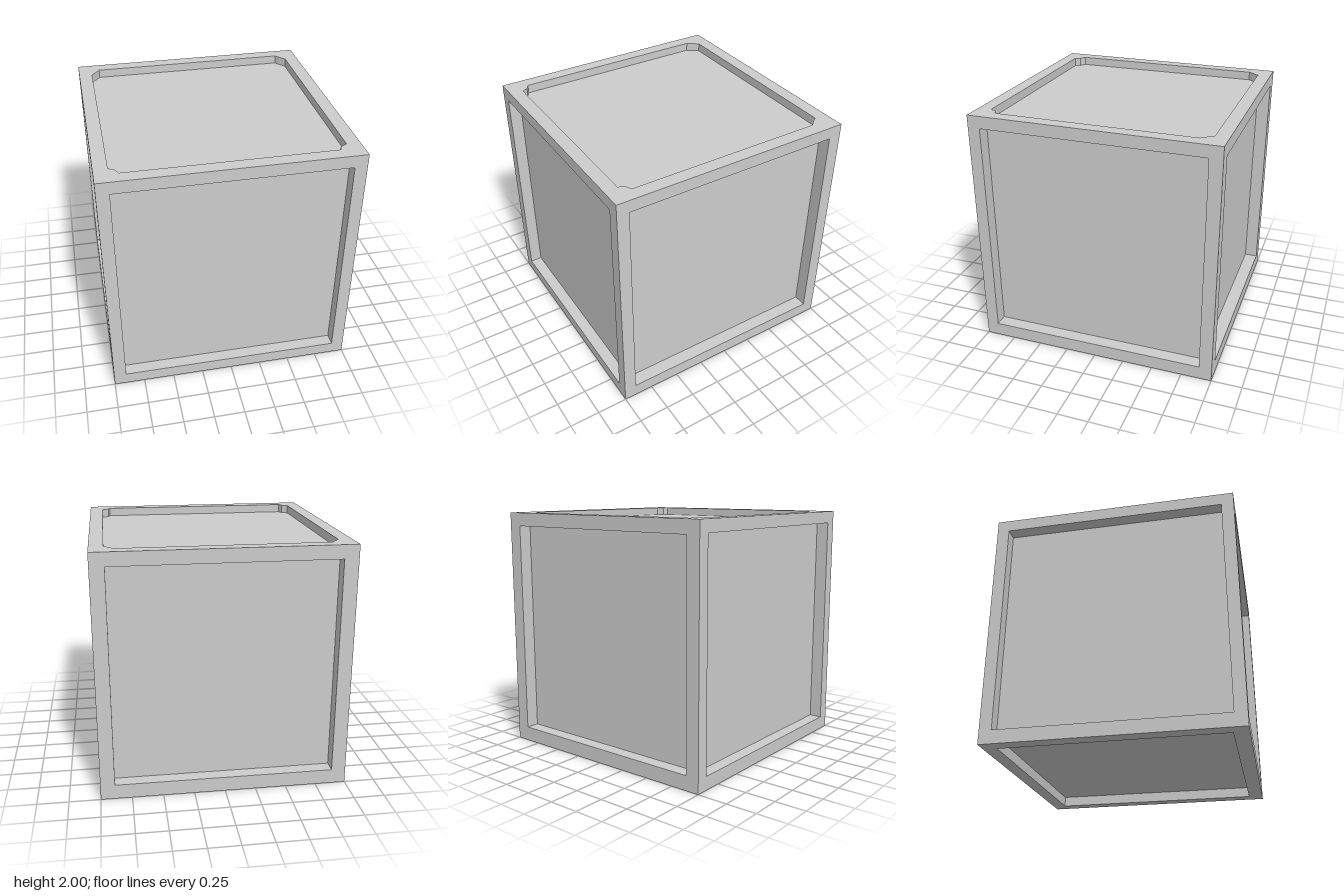
import * as THREE from 'three';

const stone = new THREE.MeshStandardMaterial({ color: 0xcccccc });
stone.name = 'light grey';

const rect = (x0, x1, y0, y1) => [[x0, y0], [x1, y0], [x1, y1], [x0, y1]];
const toShape = (pts) => new THREE.Shape(pts.map(([x, y]) => new THREE.Vector2(x, y)));

// Inward-facing walls that drop from a counter-clockwise opening to the panel
function wallGeometry(pts, depth) {
  const pos = [];
  pts.forEach(([px, py], i) => {
    const [qx, qy] = pts[(i + 1) % pts.length];
    const zb = 1 - depth;
    pos.push(px, py, 1, qx, qy, 1, px, py, zb);
    pos.push(qx, qy, 1, qx, qy, zb, px, py, zb);
  });
  const geo = new THREE.BufferGeometry();
  geo.setAttribute('position', new THREE.Float32BufferAttribute(pos, 3));
  geo.computeVertexNormals();
  return geo;
}

// One cube side, facing +z at z = 1: flat border, recess walls, sunken panel
function recessedSide(name, opening, depth) {
  const side = new THREE.Group();
  side.name = name;
  const add = (part, geo) => {
    const mesh = new THREE.Mesh(geo, stone);
    mesh.name = name + part;
    side.add(mesh);
  };
  const border = toShape(rect(-1, 1, -1, 1));
  border.holes.push(toShape(opening));
  add('Border', new THREE.ShapeGeometry(border).translate(0, 0, 1));
  add('RecessWalls', wallGeometry(opening, depth));
  add('Panel', new THREE.ShapeGeometry(toShape(opening)).translate(0, 0, 1 - depth));
  return side;
}

export function createModel() {
  const model = new THREE.Group();
  model.name = 'panelledCube';

  // Top opening has clipped, slightly notched corners
  const topOpening = [
    [-0.82, -0.89], [0.82, -0.89], [0.835, -0.845], [0.89, -0.815],
    [0.89, 0.8], [0.845, 0.85], [0.82, 0.89],
    [-0.82, 0.89], [-0.89, 0.8], [-0.89, -0.815], [-0.84, -0.845],
  ];
  const q = Math.PI / 2;

  // name, opening, depth, x rotation, y rotation
  const sides = [
    ['front', rect(-0.9, 0.9, -0.9, 0.9), 0.1, 0, 0],
    ['right', rect(-0.9, 0.895, -0.89, 0.9), 0.11, 0, q],
    ['back', rect(-0.885, 0.885, -0.88, 0.89), 0.11, 0, 2 * q],
    ['left', rect(-0.9, 0.9, -0.89, 0.9), 0.105, 0, -q],
    ['top', topOpening, 0.07, -q, 0],
    ['bottom', rect(-0.88, 0.89, -0.89, 0.88), 0.085, q, 0],
  ];
  for (const [name, opening, depth, rx, ry] of sides) {
    const side = recessedSide(name, opening, depth);
    side.rotation.set(rx, ry, 0);
    side.position.y = 1;
    model.add(side);
  }
  return model;
}
